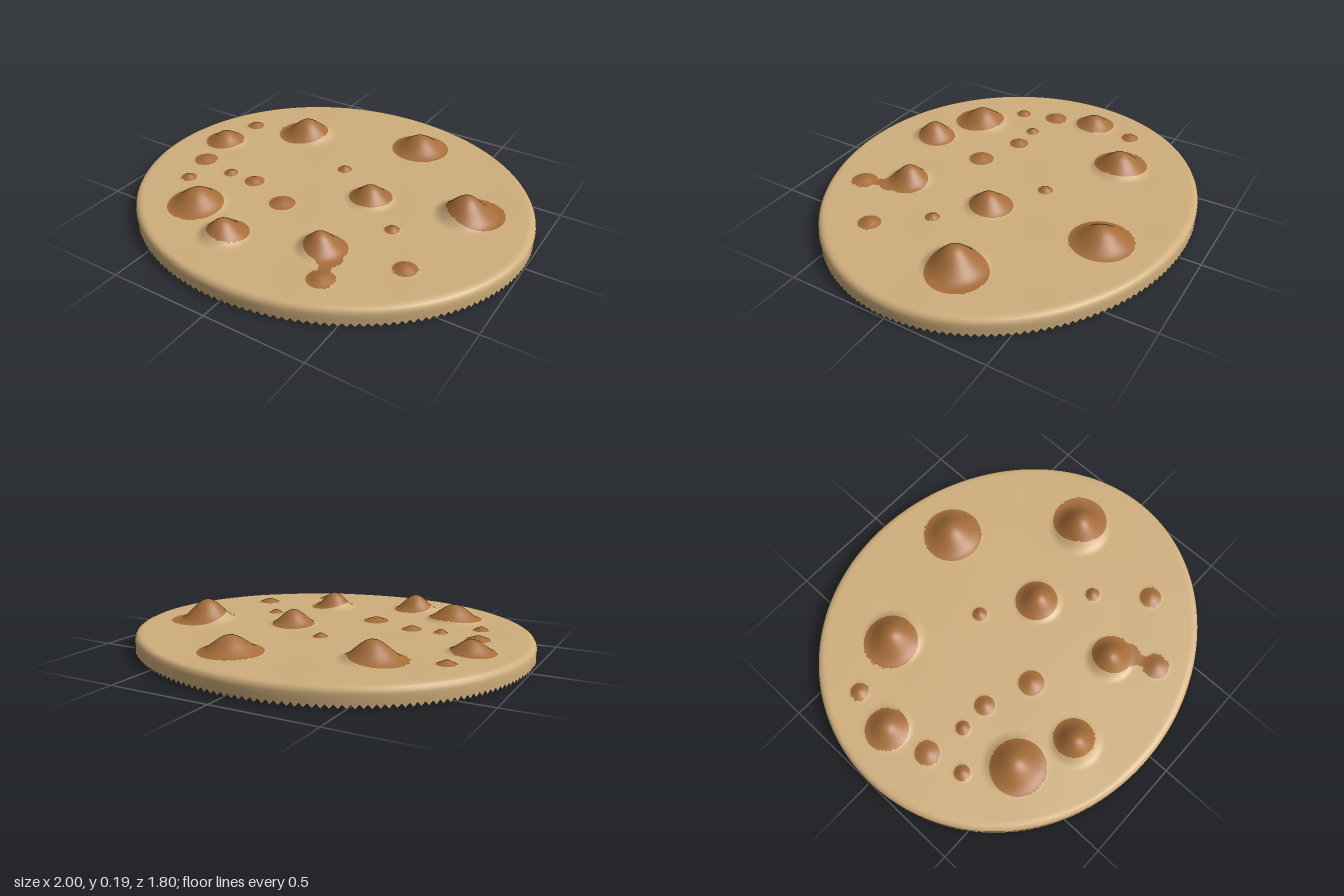
import * as THREE from 'three';

// Brown patches: [x, z, radius]
const patches = [
  [0.18, -0.59, 0.15], [-0.45, -0.4, 0.135], [0.69, -0.155, 0.14], [-0.77, -0.1, 0.105],
  [0.2, -0.02, 0.106], [-0.48, 0.48, 0.135], [-0.2, 0.58, 0.098], [0.24, 0.445, 0.1],
  [0.295, 0.505, 0.06], [0.315, 0.57, 0.03], // smear beside the last chip
];
// Large mounds under the chips: [x, z, radius, height]
const mounds = [
  [0.18, -0.59, 0.16, 0.075], [-0.425, -0.405, 0.16, 0.09], [0.655, -0.125, 0.16, 0.105],
  [-0.76, -0.1, 0.125, 0.06], [0.205, -0.01, 0.13, 0.075], [-0.48, 0.46, 0.16, 0.08],
  [-0.21, 0.6, 0.13, 0.08], [0.215, 0.45, 0.125, 0.08],
];
// Small chips: patch and low mound together
const crumbs = [
  [-0.72, 0.12, 0.06], [-0.73, -0.33, 0.045], [-0.045, -0.18, 0.037], [-0.52, 0.16, 0.036],
  [-0.37, 0.16, 0.05], [-0.135, 0.25, 0.064], [-0.675, 0.305, 0.04], [0.42, 0.165, 0.036],
  [0.605, 0.39, 0.055], [0.34, 0.64, 0.063],
];
for (const [x, z, r] of crumbs) {
  patches.push([x, z, r]);
  mounds.push([x, z, r * 1.2, 0.02]);
}

const TOP = 0.09, SEG = 360, RINGS = 90;

// Signed distance to the nearest patch edge, with that patch
function nearestPatch(x, z) {
  let best = { d: Infinity };
  for (const p of patches) {
    const d = Math.hypot(x - p[0], z - p[1]) - p[2];
    if (d < best.d) best = { d, p };
  }
  return best;
}

// Surface height: flat dough, faint waviness and smooth mounds
function height(x, z) {
  let y = TOP + 0.0015 * Math.sin(9 * x + 2 * z) * Math.sin(8 * z - 3 * x);
  for (const [mx, mz, r, h] of mounds) {
    const d = Math.hypot(x - mx, z - mz);
    if (d < r) y += h * (0.5 + 0.5 * Math.cos(Math.PI * d / r));
  }
  return y;
}

export function createModel() {
  const dough = new THREE.MeshStandardMaterial({ color: 0xcfae7c, side: THREE.DoubleSide });
  dough.name = 'dough';
  const chocolate = new THREE.MeshStandardMaterial({ color: 0xa66d39, side: THREE.DoubleSide });
  chocolate.name = 'chocolate';

  const pos = [0, height(0, 0), 0];
  // Slightly lopsided oval outline
  const place = (s, t) => [s * (Math.cos(t) - 0.04 * Math.sin(t) ** 2), s * 0.9 * Math.sin(t)];

  // Top surface in rings; points close to a chip's edge are moved onto it
  for (let i = 1; i <= RINGS; i++) {
    for (let j = 0; j < SEG; j++) {
      let [x, z] = place(0.965 * i / RINGS, j / SEG * Math.PI * 2);
      const { d, p } = nearestPatch(x, z);
      if (Math.abs(d) < 0.006) {
        const k = p[2] / (p[2] + d);
        x = p[0] + (x - p[0]) * k;
        z = p[1] + (z - p[1]) * k;
      }
      pos.push(x, height(x, z), z);
    }
  }
  // Rounded rim and side wall, with a ragged lower edge
  const rim = [[0.978, 0.088], [0.988, 0.083], [0.996, 0.073], [1, 0.06], [1, 0.04], [1, 0]];
  for (const [s, y] of rim) {
    for (let j = 0; j < SEG; j++) {
      const [x, z] = place(s, j / SEG * Math.PI * 2);
      pos.push(x, y === 0 ? (j % 2) * 0.018 : y, z);
    }
  }

  // Sort the triangles into dough and chocolate
  const doughFaces = [], chipFaces = [];
  const face = (a, b, c) => {
    const mid = (k) => (pos[a * 3 + k] + pos[b * 3 + k] + pos[c * 3 + k]) / 3;
    (nearestPatch(mid(0), mid(2)).d < 0 ? chipFaces : doughFaces).push(a, b, c);
  };
  for (let j = 0; j < SEG; j++) {
    const n = (j + 1) % SEG;
    face(0, 1 + n, 1 + j);
    for (let i = 0; i < RINGS + rim.length - 1; i++) {
      const a = 1 + i * SEG + j, b = 1 + i * SEG + n;
      face(a, b, a + SEG);
      face(b, b + SEG, a + SEG);
    }
  }

  // Both parts share points and normals so the surface stays smooth
  const whole = new THREE.BufferGeometry();
  whole.setAttribute('position', new THREE.Float32BufferAttribute(pos, 3));
  whole.setIndex([...doughFaces, ...chipFaces]);
  whole.computeVertexNormals();

  const group = new THREE.Group();
  group.name = 'cookie';
  const addPart = (name, faces, material) => {
    const geometry = new THREE.BufferGeometry();
    geometry.setAttribute('position', whole.getAttribute('position'));
    geometry.setAttribute('normal', whole.getAttribute('normal'));
    geometry.setIndex(faces);
    const mesh = new THREE.Mesh(geometry, material);
    mesh.name = name;
    group.add(mesh);
  };
  addPart('doughShell', doughFaces, dough);
  addPart('chocolateChips', chipFaces, chocolate);
  return group;
}
